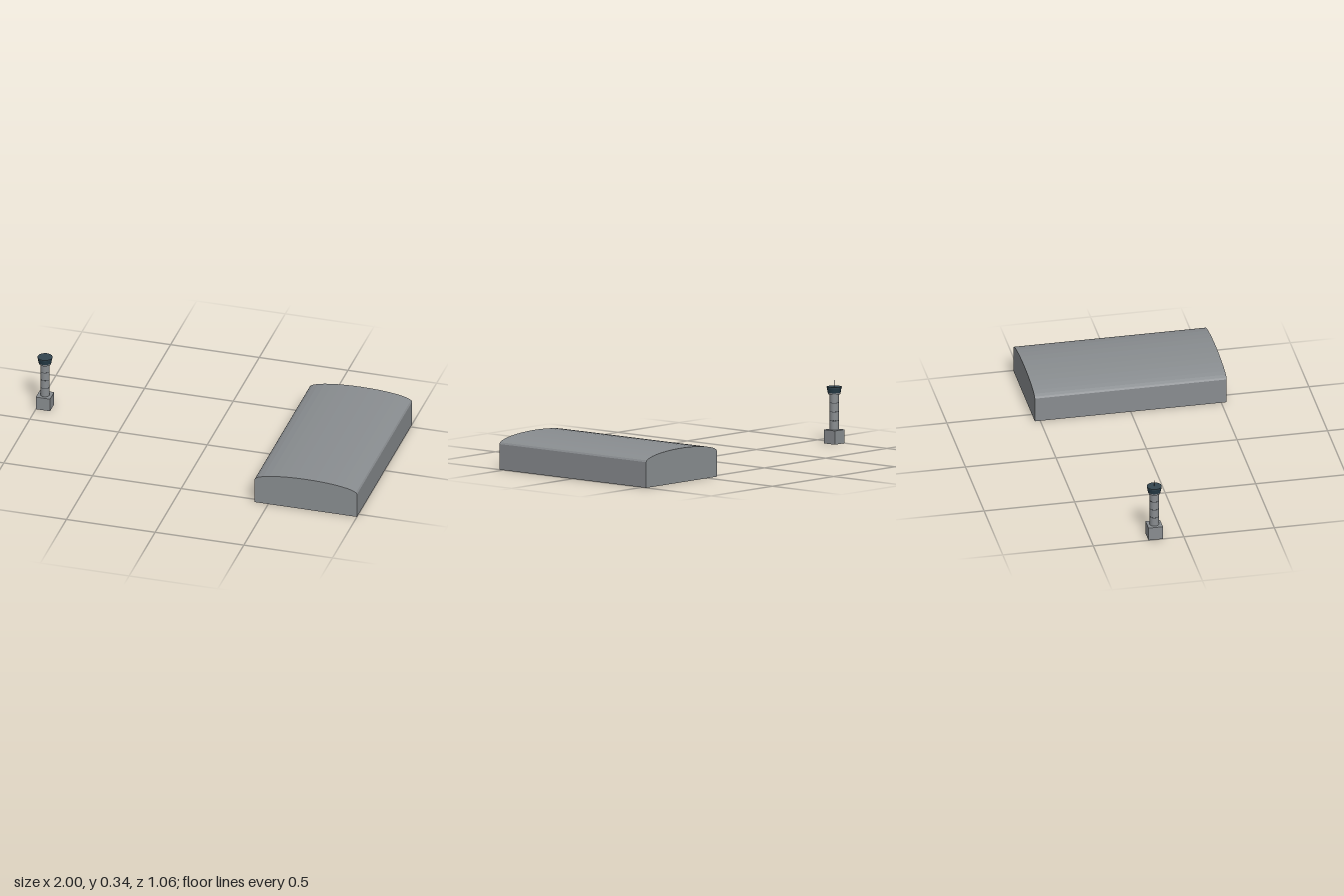
import * as THREE from 'three';

const material = (name, color) =>
  new THREE.MeshStandardMaterial({ name, color, side: THREE.DoubleSide });

function add(parent, name, geometry, mat, x = 0, y = 0, z = 0) {
  const mesh = new THREE.Mesh(geometry, mat);
  mesh.name = name;
  mesh.position.set(x, y, z);
  parent.add(mesh);
  return mesh;
}

// Sheet that follows a profile in x/y and runs the full length in z
function sheet(profile, length) {
  const indexed = new THREE.PlaneGeometry(1, 1, profile.length - 1, 1);
  const pos = indexed.attributes.position;
  for (let i = 0; i < pos.count; i++) {
    const p = profile[i % profile.length];
    pos.setXYZ(i, p.x, p.y, -pos.getY(i) * length);
  }
  const geometry = indexed.toNonIndexed();
  geometry.computeVertexNormals();
  return geometry;
}

// Hollow hangar, open underneath, with a low elliptical roof
function createHangar(concrete) {
  const hangar = new THREE.Group();
  hangar.name = 'hangar';
  const half = 0.289, eave = 0.14, rise = 0.047, length = 1.06, steps = 16;

  const arch = [];
  for (let i = 0; i <= steps; i++) {
    const a = Math.PI * (1 - i / steps);
    arch.push(new THREE.Vector2(half * Math.cos(a), eave + rise * Math.sin(a)));
  }
  const footRight = new THREE.Vector2(-half, 0);
  const footLeft = new THREE.Vector2(half, 0);
  add(hangar, 'roof', sheet(arch, length), concrete);
  add(hangar, 'rightWall', sheet([footRight, arch[0]], length), concrete);
  add(hangar, 'leftWall', sheet([arch[steps], footLeft], length), concrete);

  // End walls fill the outline below the roof
  const end = new THREE.ShapeGeometry(new THREE.Shape([footRight, ...arch, footLeft]));
  add(hangar, 'frontWall', end, concrete, 0, 0, length / 2);
  add(hangar, 'backWall', end, concrete, 0, 0, -length / 2).rotation.y = Math.PI;

  hangar.position.x = 1 - half;
  return hangar;
}

// Control tower on a square base that is open underneath
function createTower(concrete, glass, roofing, trim) {
  const tower = new THREE.Group();
  tower.name = 'controlTower';
  const sides = 16;
  const drum = (top, bottom, height, open = false) =>
    new THREE.CylinderGeometry(top, bottom, height, sides, 1, open);

  const base = new THREE.BoxGeometry(0.08, 0.075, 0.08);
  const index = Array.from(base.index.array);
  index.splice(18, 6); // drop the underside
  base.setIndex(index);
  base.clearGroups();
  add(tower, 'base', base, concrete, 0, 0.0375, 0);

  add(tower, 'shaft', drum(0.025, 0.025, 0.197, true), concrete, 0, 0.1735, 0);
  for (const y of [0.125, 0.174, 0.223]) {
    add(tower, 'shaftJoint', drum(0.0256, 0.0256, 0.003), trim, 0, y, 0);
  }

  // Flared cab with its collar, windows and roof
  add(tower, 'collar', drum(0.035, 0.033, 0.009), concrete, 0, 0.2735, 0);
  add(tower, 'cabWindows', drum(0.04, 0.035, 0.027), glass, 0, 0.2915, 0);
  add(tower, 'cabRoof', drum(0.041, 0.041, 0.005), roofing, 0, 0.3075, 0);
  add(tower, 'antenna', new THREE.CylinderGeometry(0.001, 0.001, 0.035, 6), trim, 0, 0.3275, 0);

  tower.position.set(-0.96, 0, -0.155);
  return tower;
}

export function createModel() {
  const model = new THREE.Group();
  model.name = 'airfieldBuildings';
  const concrete = material('concrete grey', 0x898d90);
  const glass = material('dark window blue', 0x263c48);
  const roofing = material('slate roof', 0x34464f);
  const trim = material('dark trim', 0x3a3e42);
  model.add(createHangar(concrete), createTower(concrete, glass, roofing, trim));
  return model;
}
